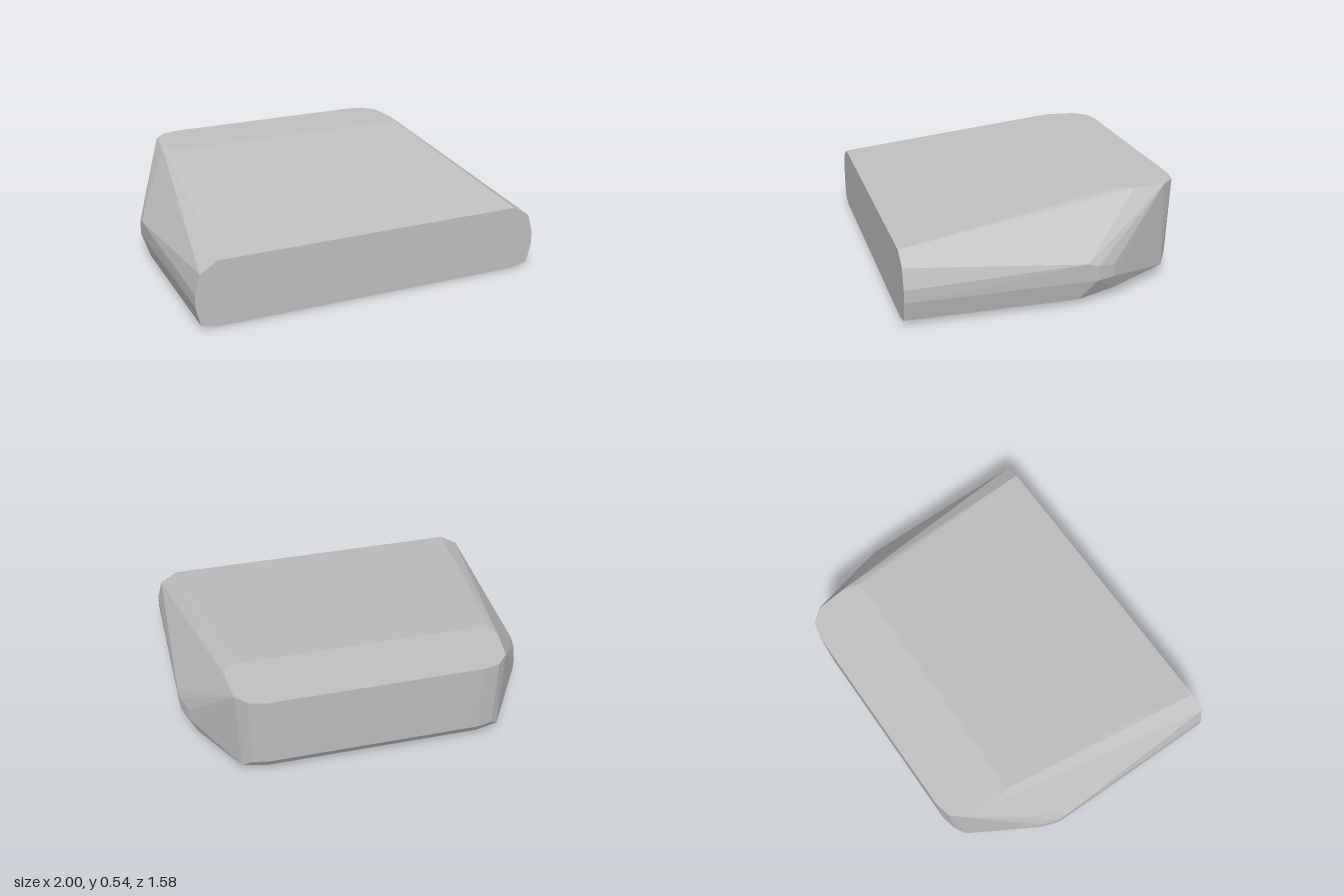
import * as THREE from 'three';
import { ConvexGeometry } from 'three/addons/geometries/ConvexGeometry.js';

// Half outlines (x, y, z); each point is mirrored across x = 0.
const frontFace = [
  [0.87, 0.37, 0.79], [0.97, 0.31, 0.79], [1, 0.2, 0.79],
  [1, 0.13, 0.79], [0.975, 0.025, 0.79], [0.88, 0, 0.79],
];
const sideShoulder = [
  [1, 0.23, -0.18], [0.995, 0.21, -0.24], [0.995, 0.13, -0.24],
  [0.96, 0.2, -0.34], [0.96, 0.13, -0.34],
  [0.97, 0.025, -0.14], [0.95, 0.04, -0.24], [0.92, 0.05, -0.36], [0.88, 0, -0.15],
];
const topRim = [
  [0.68, 0.54, -0.425], [0.74, 0.54, -0.44], [0.765, 0.54, -0.52],
  [0.745, 0.54, -0.7], [0.68, 0.54, -0.77], [0.59, 0.54, -0.79],
];
const rearFoot = [
  [0.59, 0.11, -0.765], [0.68, 0.11, -0.745], [0.73, 0.06, -0.705],
  [0.6, 0.05, -0.725], [0.62, 0.015, -0.67], [0.6, 0, -0.57],
];

export function createModel() {
  const group = new THREE.Group();
  group.name = 'wedgeBlock';
  const stone = new THREE.MeshStandardMaterial({ color: 0xc0c0c0 });
  stone.name = 'light grey';

  // Faceted wedge with chamfered sides and a raised flat rear.
  const points = [];
  for (const [x, y, z] of [...frontFace, ...sideShoulder, ...topRim, ...rearFoot]) {
    for (const side of [1, -1]) points.push(new THREE.Vector3(side * x, y, z));
  }
  const body = new THREE.Mesh(new ConvexGeometry(points), stone);
  body.name = 'wedgeBody';
  group.add(body);
  return group;
}
